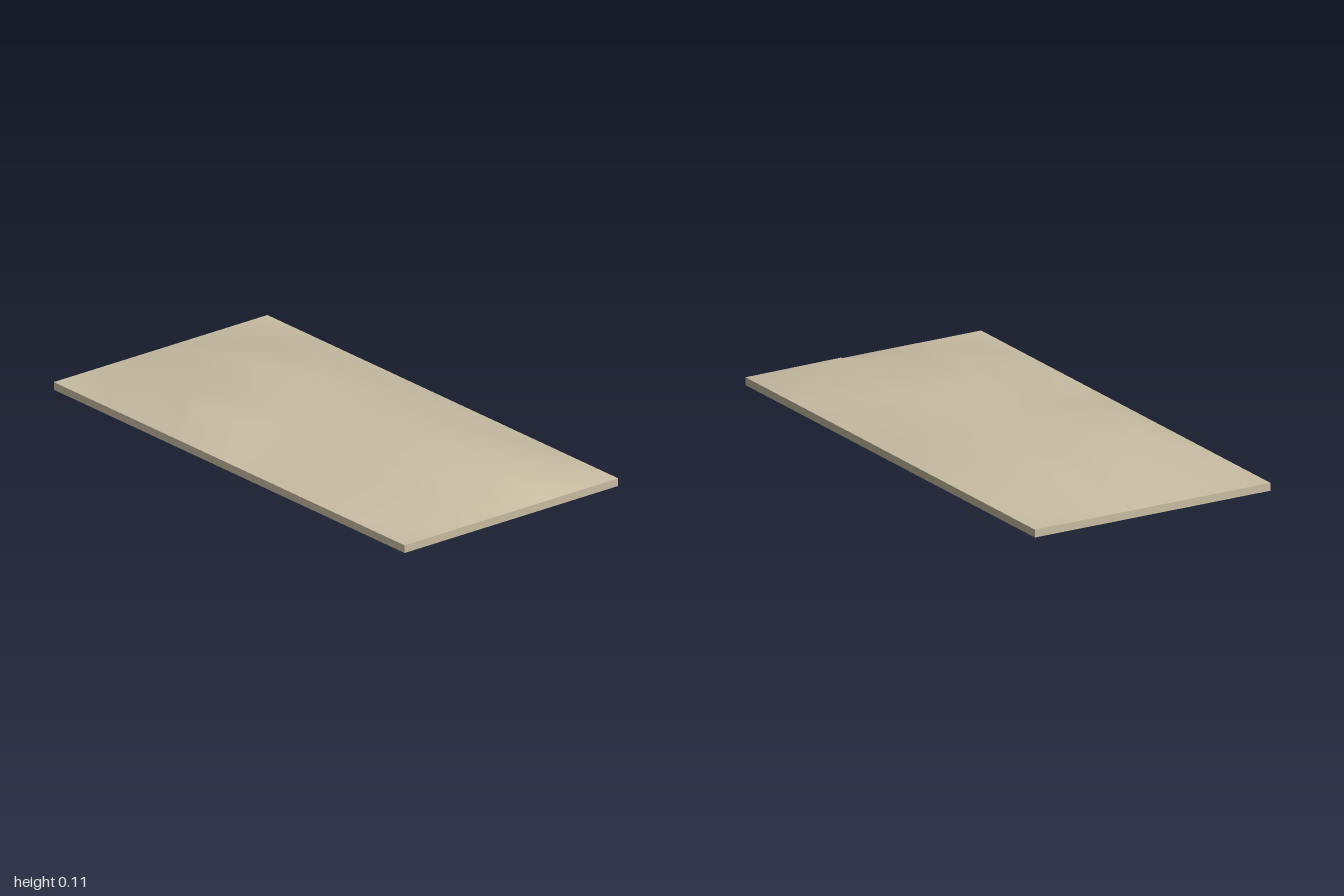
import * as THREE from 'three';

export function createModel() {
  const group = new THREE.Group();
  group.name = 'groundTile';
  const sand = new THREE.MeshStandardMaterial({ color: 0xc8bca2 });
  sand.name = 'sand';
  const rim = 0.03;

  // Thin slab, open on top where the ground covers it
  const slabGeo = new THREE.BoxGeometry(2, rim, 1);
  const idx = Array.from(slabGeo.index.array);
  idx.splice(12, 6);
  slabGeo.setIndex(idx);
  slabGeo.clearGroups();
  const slab = new THREE.Mesh(slabGeo, sand);
  slab.name = 'slab';
  slab.position.y = rim / 2;
  group.add(slab);

  // Inner ground points [x, z, height], row by row from back to front
  const inner = [
    [[-0.66, -0.17, 0.105], [-0.35, -0.2, 0.1], [0.02, -0.27, 0.108], [0.33, -0.2, 0.11], [0.8, -0.22, 0.113]],
    [[-0.6, -0.09, 0.09], [-0.27, -0.14, 0.087], [0.02, -0.18, 0.086], [0.34, -0.1, 0.108], [0.75, -0.1, 0.1]],
    [[-0.62, 0.1, 0.088], [-0.24, 0.12, 0.09], [0.03, -0.12, 0.1], [0.33, 0.11, 0.105], [0.67, 0.07, 0.076]],
    [[-0.47, 0.28, 0.1], [-0.35, 0.36, 0.099], [-0.12, 0.34, 0.096], [0.12, 0.2, 0.077], [0.63, 0.17, 0.1]],
  ];

  // Surround them with a level rim
  const edgeX = [-1, -0.67, -0.33, 0, 0.33, 0.67, 1];
  const sideZ = [-0.17, -0.06, 0.1, 0.25];
  const rows = [
    edgeX.map((x) => [x, -0.5, rim]),
    ...inner.map((r, i) => [[-1, sideZ[i], rim], ...r, [1, sideZ[i], rim]]),
    edgeX.map((x) => [x, 0.5, rim]),
  ];
  const points = rows.flat().map(([x, z, y]) => new THREE.Vector3(x, y, z));

  // Two triangles per cell, split along the shorter diagonal
  const faces = [];
  const n = edgeX.length;
  for (let i = 0; i < rows.length - 1; i++) {
    for (let j = 0; j < n - 1; j++) {
      const a = i * n + j, b = a + n, c = a + 1, d = b + 1;
      if (points[a].distanceTo(points[d]) < points[b].distanceTo(points[c])) {
        faces.push(a, b, d, a, d, c);
      } else {
        faces.push(a, b, c, b, d, c);
      }
    }
  }
  const groundGeo = new THREE.BufferGeometry().setFromPoints(points);
  groundGeo.setIndex(faces);
  groundGeo.computeVertexNormals();
  const ground = new THREE.Mesh(groundGeo, sand);
  ground.name = 'unevenGround';
  group.add(ground);
  return group;
}
